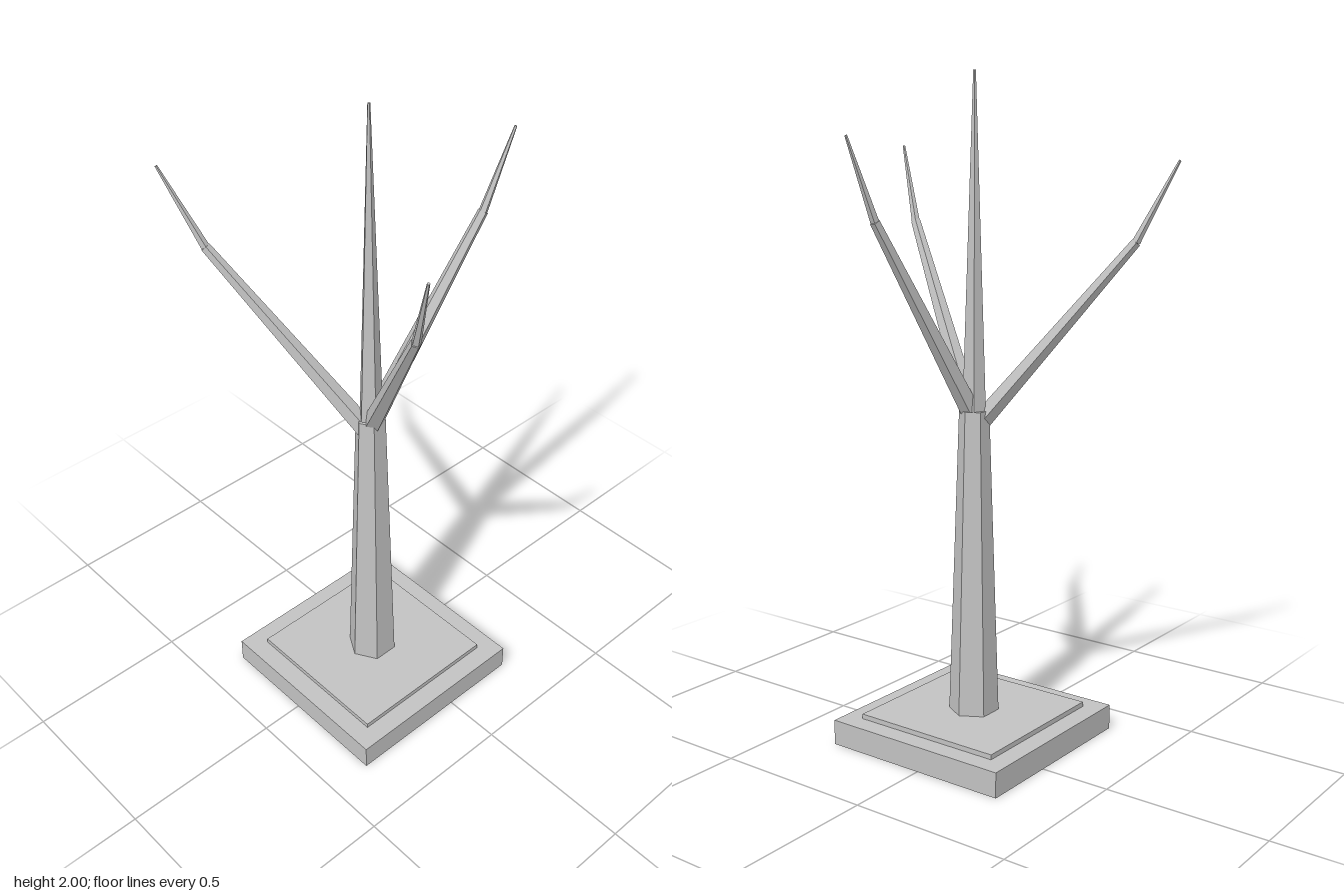
import * as THREE from 'three';

const UP = new THREE.Vector3(0, 1, 0);
const CX = 0.02, CZ = 0.066; // trunk axis

export function createModel() {
  const tree = new THREE.Group();
  tree.name = 'bareTree';
  const grey = new THREE.MeshStandardMaterial({ color: 0xc2c2c2, flatShading: true });
  grey.name = 'grey';

  const add = (parent, name, geometry) => {
    const mesh = new THREE.Mesh(geometry, grey);
    mesh.name = name;
    parent.add(mesh);
    return mesh;
  };

  // Square slab between two heights
  const slab = (name, size, y0, y1) =>
    add(tree, name, new THREE.BoxGeometry(size, y1 - y0, size)).position.set(CX, (y0 + y1) / 2, CZ);

  // Tapered faceted limb between two points
  const limb = (parent, name, from, to, r0, r1, sides) => {
    const a = new THREE.Vector3(...from), b = new THREE.Vector3(...to);
    const dir = b.clone().sub(a);
    const mesh = add(parent, name, new THREE.CylinderGeometry(r1, r0, dir.length(), sides));
    mesh.position.copy(a).add(b).multiplyScalar(0.5);
    mesh.quaternion.setFromUnitVectors(UP, dir.normalize());
  };

  // Stepped base
  slab('base', 0.605, 0, 0.077);
  slab('baseTop', 0.484, 0.077, 0.092);

  // Trunk and central leader
  limb(tree, 'trunk', [CX, 0.092, CZ], [CX, 1.025, CZ], 0.076, 0.045, 6);
  limb(tree, 'leader', [CX, 1.0, CZ], [CX, 2.0, CZ], 0.037, 0.004, 5);

  // Side branches: start, elbow, tip
  const branches = [
    ['rightBranch', [0.02, 0.975, 0.075], [-0.37, 1.52, 0.314], [-0.469, 1.75, 0.379]],
    ['leftBranch', [0.03, 1.01, 0.066], [0.38, 1.555, 0.243], [0.464, 1.785, 0.29]],
    ['backBranch', [0.027, 1.03, 0.055], [0.092, 1.59, -0.287], [0.11, 1.82, -0.379]],
  ];
  for (const [name, start, elbow, tip] of branches) {
    const group = new THREE.Group();
    group.name = name;
    limb(group, 'lowerBranch', start, elbow, 0.031, 0.015, 5);
    limb(group, 'twig', elbow, tip, 0.013, 0.004, 5);
    tree.add(group);
  }
  return tree;
}
